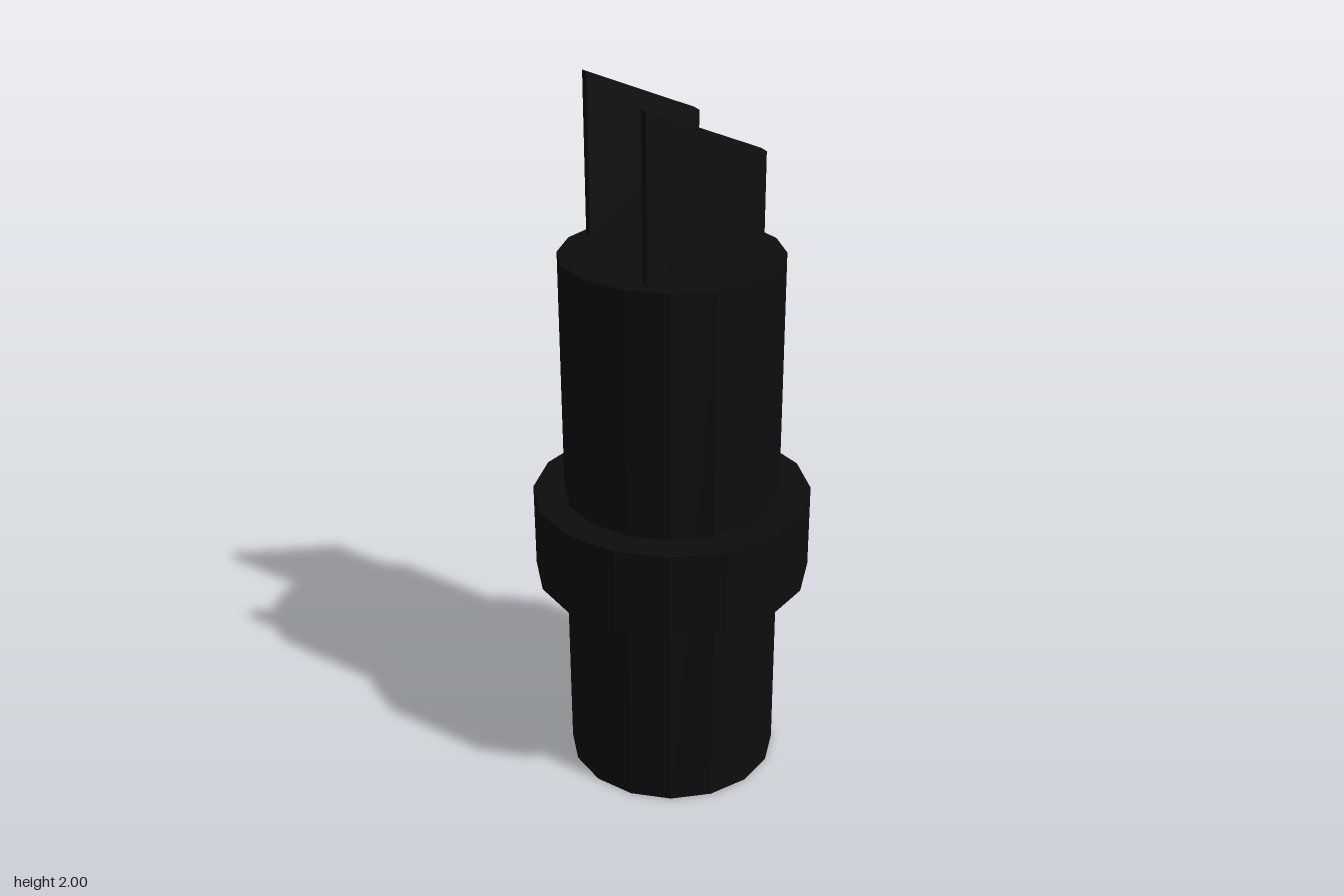
import * as THREE from 'three';

export function createModel() {
  const model = new THREE.Group();
  const black = new THREE.MeshStandardMaterial({ color: 0x0d0d0d, flatShading: true });
  black.name = 'matte black';

  function add(name, geometry, y, z = 0) {
    const mesh = new THREE.Mesh(geometry, black);
    mesh.name = name;
    mesh.position.set(0, y, z);
    model.add(mesh);
  }

  // 16-sided upright cylinder between two heights
  const drum = (name, radius, bottom, top) =>
    add(name, new THREE.CylinderGeometry(radius, radius, top - bottom, 16), (bottom + top) / 2);

  drum('barrel', 0.303, 0, 1.557);
  drum('collar', 0.391, 0.612, 0.859);

  // Two thin prongs with slanted tips, front and back
  const outline = new THREE.Shape([
    new THREE.Vector2(-0.158, 0),
    new THREE.Vector2(0.158, 0),
    new THREE.Vector2(0.158, 0.315),
    new THREE.Vector2(-0.158, 0.443),
  ]);
  const thickness = 0.034;
  const blade = new THREE.ExtrudeGeometry(outline, { depth: thickness, bevelEnabled: false });
  blade.translate(0, 0, -thickness / 2);
  add('frontProng', blade, 1.557, 0.213);
  add('backProng', blade, 1.557, -0.213);

  return model;
}
